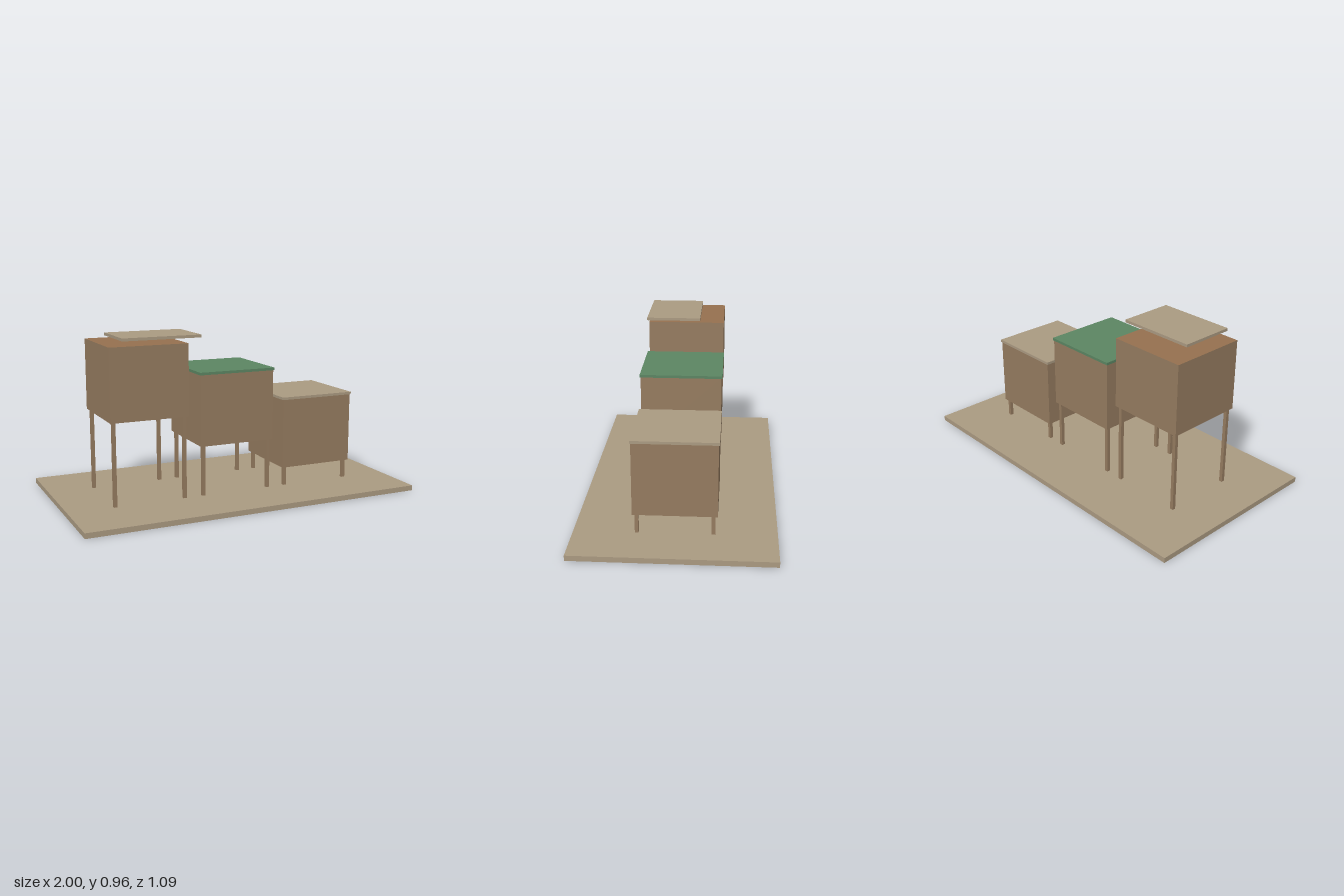
import * as THREE from 'three';

const paint = (name, color) => {
  const m = new THREE.MeshStandardMaterial({ color });
  m.name = name;
  return m;
};

export function createModel() {
  const model = new THREE.Group();
  model.name = 'raisedBoxes';

  const paleWood = paint('pale wood', 0xab9b82);
  const brownWood = paint('brown wood', 0x967c60);
  const warmWood = paint('warm wood', 0x96714f);
  const green = paint('green', 0x5c8663);

  // Box given by its lower and upper corners
  const block = (parent, name, material, [x0, y0, z0], [x1, y1, z1]) => {
    const mesh = new THREE.Mesh(new THREE.BoxGeometry(x1 - x0, y1 - y0, z1 - z0), material);
    mesh.position.set((x0 + x1) / 2, (y0 + y1) / 2, (z0 + z1) / 2);
    mesh.name = name;
    parent.add(mesh);
  };

  // Ground board
  block(model, 'baseBoard', paleWood, [-1, 0, -0.545], [1, 0.03, 0.545]);

  // Three boxes on legs, stepping down towards +x
  const sides = brownWood;
  const boxFaces = [sides, sides, warmWood, sides, sides, sides];
  const half = 0.227;
  const boxes = [
    { name: 'tallBox', x: -0.527, bottom: 0.502 },
    { name: 'middleBox', x: -0.002, bottom: 0.321, lid: green },
    { name: 'lowBox', x: 0.522, bottom: 0.14, lid: paleWood },
  ];
  for (const { name, x, bottom, lid } of boxes) {
    const group = new THREE.Group();
    group.name = name;
    group.position.x = x;
    model.add(group);
    const top = bottom + 0.409;
    block(group, 'boxBody', boxFaces, [-half, bottom, -half], [half, top, half]);
    for (const sx of [-1, 1]) {
      for (const sz of [-1, 1]) {
        const lx = sx * 0.205, lz = sz * 0.204, r = 0.01;
        block(group, 'leg', brownWood, [lx - r, 0.02, lz - r], [lx + r, bottom, lz + r]);
      }
    }
    // Closed lid, slightly wider than the box
    if (lid) block(group, 'lid', lid, [-0.232, top - 0.001, -0.232], [0.232, top + 0.014, 0.232]);
  }

  // Lifted lid hovering above the tall box, shifted to the front
  block(model, 'liftedLid', paleWood, [-0.68, 0.94, -0.086], [-0.225, 0.956, 0.232]);

  return model;
}
